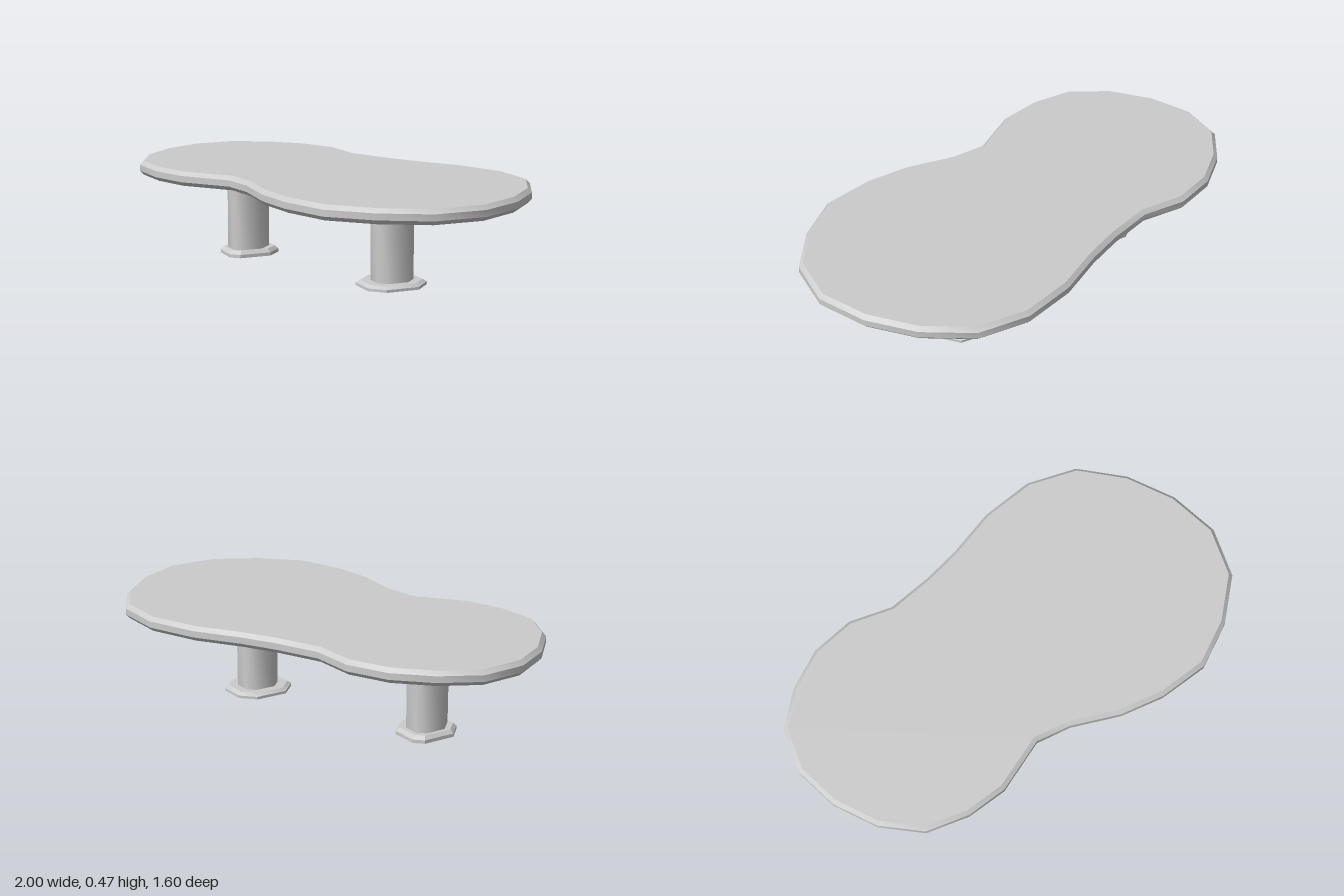
import * as THREE from 'three';
import { toCreasedNormals } from 'three/addons/utils/BufferGeometryUtils.js';

const material = new THREE.MeshStandardMaterial({ color: 0xcccccc });

// Extrudes a plan outline of [x, z] points upwards from y = 0
function extrudePlan(points, options) {
  const shape = new THREE.Shape(points.map(([x, z]) => new THREE.Vector2(x, -z)));
  return new THREE.ExtrudeGeometry(shape, { bevelEnabled: false, ...options }).rotateX(-Math.PI / 2);
}

// Rectangle with cut corners: a cuts the ++ and -- corners, b the other two
function cutRectangle(width, depth, a, b) {
  const w = width / 2, d = depth / 2;
  return [
    [w, d - a], [w - a, d], [-w + b, d], [-w, d - b],
    [-w, -d + a], [-w + a, -d], [w - b, -d], [w, -d + b],
  ];
}

function addMesh(parent, name, geometry, x, y, z, crease) {
  const mesh = new THREE.Mesh(toCreasedNormals(geometry, crease), material);
  mesh.name = name;
  mesh.position.set(x, y, z);
  parent.add(mesh);
}

// Foot plate: upright lower half, upper half tapering inwards
function footGeometry(width, depth, height, a, b) {
  const geometry = extrudePlan(cutRectangle(width, depth, a, b), { depth: height, steps: 2 });
  const p = geometry.attributes.position;
  for (let i = 0; i < p.count; i++) {
    if (p.getY(i) > height * 0.75) p.setXYZ(i, p.getX(i) * 0.88, height, p.getZ(i) * 0.88);
  }
  return geometry;
}

export function createModel() {
  const table = new THREE.Group();
  table.name = 'table';

  // Kidney-shaped top with bevelled rim
  const outline = [
    [-0.94, -0.59], [-0.80, -0.745], [-0.61, -0.80], [-0.41, -0.80], [-0.22, -0.73],
    [-0.07, -0.59], [0.13, -0.51], [0.30, -0.46], [0.53, -0.415], [0.76, -0.315],
    [0.93, -0.145], [1, 0.09], [1, 0.33], [0.93, 0.56], [0.76, 0.73], [0.53, 0.795],
    [0.30, 0.795], [0.09, 0.69], [-0.07, 0.56], [-0.22, 0.38], [-0.35, 0.28],
    [-0.61, 0.25], [-0.78, 0.165], [-0.93, 0.03], [-1, -0.17], [-1, -0.39],
  ];
  const top = extrudePlan(outline, {
    depth: 0.029, bevelEnabled: true, bevelSegments: 1,
    bevelSize: 0.018, bevelThickness: 0.019, bevelOffset: -0.018,
  });
  addMesh(table, 'tableTop', top, 0, 0.421, 0, 0.75);

  // Two columns, each on a wider foot plate
  const supports = [
    { name: 'left', leg: [0.175, 0.195], legAt: [0.383, 0.148],
      foot: [0.29, 0.315, 0.025], footAt: [0.38, 0.148] },
    { name: 'right', leg: [0.17, 0.22], legAt: [-0.495, -0.26],
      foot: [0.255, 0.30, 0.032], footAt: [-0.493, -0.265] },
  ];
  for (const s of supports) {
    const group = new THREE.Group();
    group.name = s.name + 'Support';
    const column = extrudePlan(cutRectangle(...s.leg, 0.07, 0.055), { depth: 0.4 });
    addMesh(group, s.name + 'Leg', column, s.legAt[0], 0.01, s.legAt[1], 0.9);
    const foot = footGeometry(...s.foot, 0.11, 0.09);
    addMesh(group, s.name + 'Foot', foot, s.footAt[0], 0, s.footAt[1], 0.5);
    table.add(group);
  }
  return table;
}
